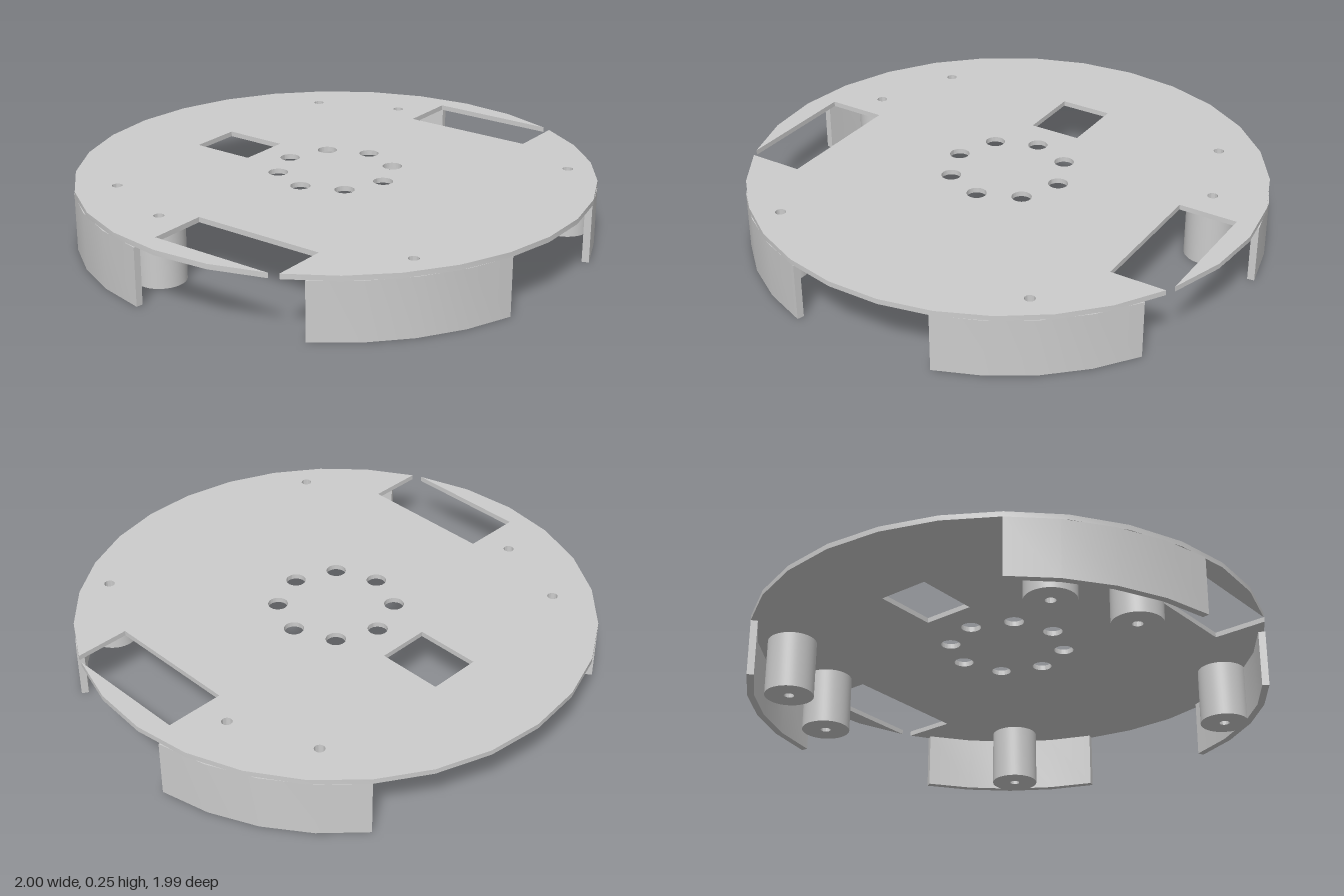
import * as THREE from 'three';
import { toCreasedNormals } from 'three/addons/utils/BufferGeometryUtils.js';

const TOP = 0.245, UNDERSIDE = 0.225;
const material = new THREE.MeshStandardMaterial({ color: 0xcccccc });

// Points on an arc in the x/z plane, angles in degrees from +x towards +z
function arc(radius, from, to, steps) {
  return Array.from({ length: steps + 1 }, (_, i) => {
    const a = THREE.MathUtils.degToRad(from + ((to - from) * i) / steps);
    return new THREE.Vector2(radius * Math.cos(a), radius * Math.sin(a));
  });
}

function circle(x, z, radius, Type = THREE.Path) {
  const path = new Type();
  path.absarc(x, z, radius, 0, Math.PI * 2, false);
  return path;
}

// Extrudes an x/z outline vertically between two heights
function slab(name, shape, bottom, top) {
  const geometry = new THREE.ExtrudeGeometry(shape, { depth: top - bottom, bevelEnabled: false, curveSegments: 24 });
  geometry.rotateX(Math.PI / 2);
  geometry.translate(0, top, 0);
  const mesh = new THREE.Mesh(toCreasedNormals(geometry, Math.PI / 6), material);
  mesh.name = name;
  return mesh;
}

export function createModel() {
  const group = new THREE.Group();
  group.name = 'roundChassis';
  const screws = [[0.63, -0.555], [0.76, -0.225], [0.535, 0.72]];
  const v = (x, z) => new THREE.Vector2(x, z);

  // Deck: faceted disc whose wheel slots break through the rim
  const backEnd = 23.6, frontEnd = 25.8;
  const deck = new THREE.Shape([
    ...arc(1, backEnd, -180 - backEnd, 18),
    v(-0.915, -0.1), v(-0.685, -0.1), v(-0.685, 0.435),
    ...arc(1, 180 - frontEnd, frontEnd, 11),
    v(0.685, 0.435), v(0.685, -0.1), v(0.915, -0.1),
  ]);

  // Cable window, ring of holes and screw holes
  deck.holes.push(new THREE.Path([v(-0.103, -0.61), v(0.103, -0.61), v(0.103, -0.355), v(-0.103, -0.355)]));
  for (const p of arc(0.223, 0, 315, 7)) deck.holes.push(circle(p.x, p.y, 0.038));
  for (const side of [-1, 1]) {
    for (const [x, z] of screws) deck.holes.push(circle(side * x, z, 0.02));
  }
  group.add(slab('deck', deck, UNDERSIDE, TOP));

  for (const side of [-1, 1]) {
    const label = side > 0 ? 'left' : 'right';

    // Bored posts under the screw holes
    screws.forEach(([x, z], i) => {
      const post = circle(side * x, z, 0.095, THREE.Shape);
      post.holes.push(circle(side * x, z, 0.02));
      group.add(slab(`${label}Post${i + 1}`, post, 0, UNDERSIDE));
    });

    // Curved skirt walls
    for (const [name, from, to] of [['FrontWall', 30.7, 73.4], ['BackWall', -52.3, -7.5]]) {
      const points = [...arc(1, from, to, 4), ...arc(0.973, to, from, 4)];
      points.forEach((p) => { p.x *= side; });
      group.add(slab(label + name, new THREE.Shape(points), 0, UNDERSIDE));
    }
  }
  return group;
}
